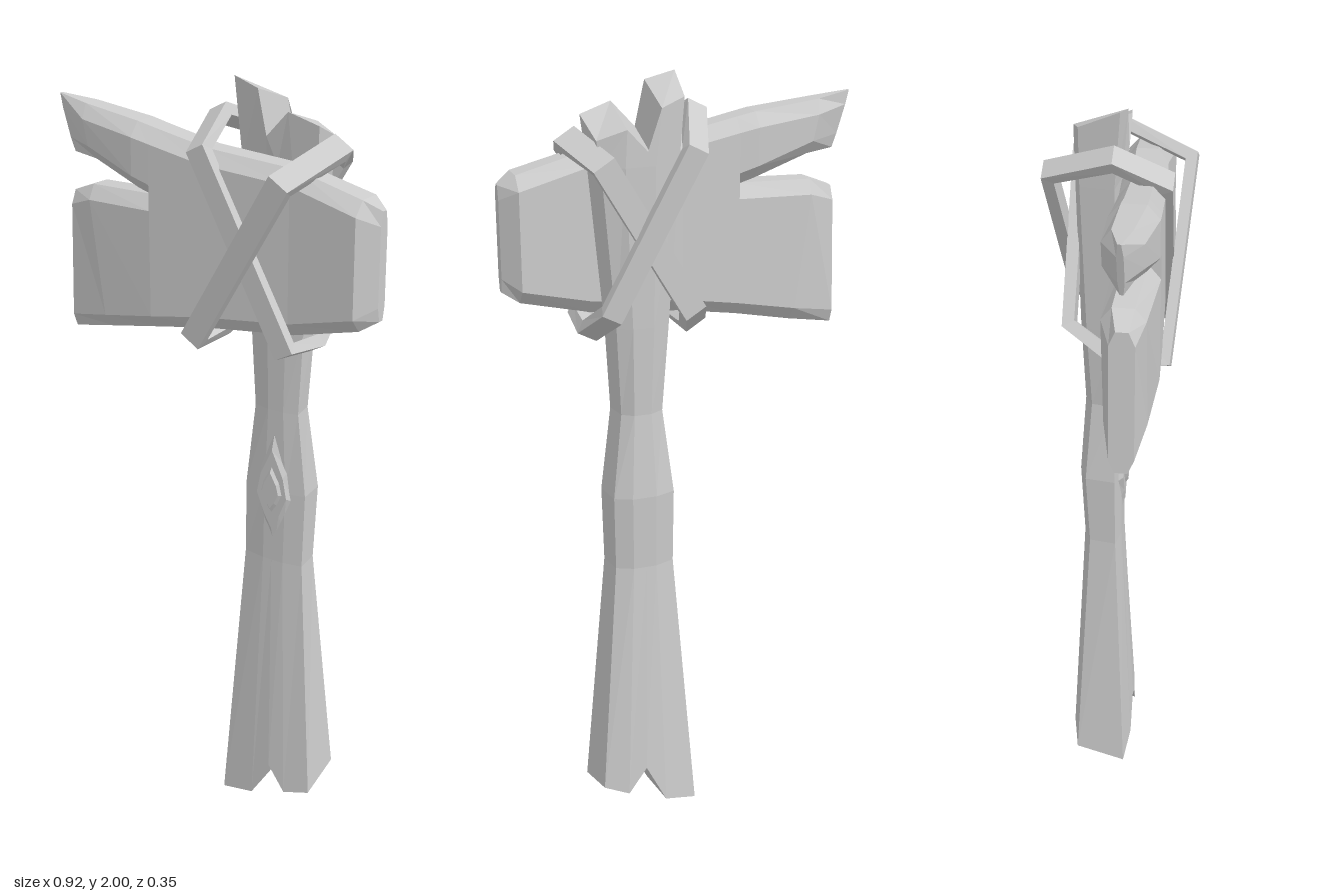
import * as THREE from 'three';

const material = new THREE.MeshStandardMaterial({ color: 0xcccccc, flatShading: true });

// Skin a row of equal rings; open rows get strip caps, loops join end to start
function loft(name, rings, loop = false) {
  const n = rings[0].length, pos = [];
  const quad = (a, b, c, d) => [a, b, c, a, c, d].forEach(p => pos.push(...p));
  const last = loop ? rings.length : rings.length - 1;
  for (let r = 0; r < last; r++) {
    const a = rings[r], b = rings[(r + 1) % rings.length];
    for (let i = 0; i < n; i++) {
      const j = (i + 1) % n;
      quad(a[i], a[j], b[j], b[i]);
    }
  }
  if (!loop) {
    const s = rings[0], e = rings[rings.length - 1];
    for (let i = 0; i < n / 2 - 1; i++) {
      quad(e[i], e[i + 1], e[n - 2 - i], e[n - 1 - i]);
      quad(s[n - 1 - i], s[n - 2 - i], s[i + 1], s[i]);
    }
  }
  const geo = new THREE.BufferGeometry();
  geo.setAttribute('position', new THREE.Float32BufferAttribute(pos, 3));
  geo.computeVertexNormals();
  const mesh = new THREE.Mesh(geo, material);
  mesh.name = name;
  return mesh;
}

// Handle: five columns at the front and five at the back, with forked ends
function handleRing(xs, ys, zf, zb, backRise = 0) {
  const edge = [1, 0, 0, 0, 1];
  const front = xs.map((x, i) => [x, ys[i], zf - edge[i] * 0.01]);
  const back = xs.map((x, i) => [x + [0.01, 0, 0, 0, -0.01][i], ys[i] + backRise, zb + edge[i] * 0.02]);
  return [...front, ...back.reverse()];
}

function makeHandle() {
  const spans = [ // y, left, right, front z, back z
    [0.75, 0.05, 0.225, 0.005, -0.095],
    [0.95, 0.05, 0.23, 0.003, -0.105],
    [1.17, 0.075, 0.203, 0, -0.09],
    [1.4, 0.06, 0.215, 0, -0.1],
    [1.8, 0.035, 0.25, 0.005, -0.11],
  ];
  const rows = spans.map(([y, l, r, zf, zb]) =>
    handleRing([0, 0.35, 0.5, 0.7, 1].map(u => l + (r - l) * u), Array(5).fill(y), zf, zb));
  const bottom = handleRing([0, 0.1, 0.155, 0.205, 0.278], [0, 0.025, 0.135, 0.065, 0.085], 0.035, -0.13, 0.03);
  const top = handleRing([0.022, 0.095, 0.12, 0.18, 0.26], [2, 1.98, 1.87, 1.935, 1.91], 0.02, -0.11, -0.045);
  return loft('handle', [bottom, ...rows, top]);
}

// Stone head: eight-sided slices with chamfered top and bottom edges
function slice([xt, yt, xb, yb, z, t]) {
  const at = (y, dz) => [xb + (xt - xb) * (y - yb) / (yt - yb), y, z + dz];
  const c = 0.035, k = t * 0.5;
  return [at(yt - c, t), at(yb + c, t), at(yb, k), at(yb, -k),
    at(yb + c, -t), at(yt - c, -t), at(yt, -k), at(yt, k)];
}

function makeHead() {
  const head = new THREE.Group();
  head.name = 'axeHead';
  const parts = { // top x, top y, bottom x, bottom y, centre z, half thickness
    headBody: [
      [-0.15, 1.87, -0.15, 1.365, 0.07, 0.058],
      [0, 1.84, 0, 1.39, 0.065, 0.055],
      [0.24, 1.82, 0.24, 1.415, 0.05, 0.053],
      [0.42, 1.775, 0.42, 1.46, 0.045, 0.06],
      [0.46, 1.75, 0.46, 1.485, 0.043, 0.015],
    ],
    upperProng: [
      [-0.463, 1.912, -0.42, 1.77, 0.07, 0.008],
      [-0.37, 1.9, -0.34, 1.765, 0.065, 0.048],
      [-0.2, 1.88, -0.2, 1.715, 0.07, 0.06],
      [-0.15, 1.87, -0.15, 1.70, 0.07, 0.058],
    ],
    lowerProng: [
      [-0.415, 1.675, -0.425, 1.31, 0.07, 0.03],
      [-0.35, 1.70, -0.3, 1.335, 0.065, 0.052],
      [-0.15, 1.705, -0.15, 1.365, 0.07, 0.058],
    ],
  };
  for (const [name, rows] of Object.entries(parts)) head.add(loft(name, rows.map(slice)));
  return head;
}

// Strap: a flat band around a tilted loop, listed up the front and down the back
function makeStrap(name, points, halfWidth, halfThick) {
  const p = points.map(q => new THREE.Vector3(...q));
  const s = p[1].clone().sub(p[0]);
  const w = new THREE.Vector3(-s.y, s.x, 0).normalize();
  const rings = p.map((q, i) => {
    const a = p[(i + p.length - 1) % p.length], b = p[(i + 1) % p.length];
    const d = q.clone().sub(a).normalize().add(b.clone().sub(q).normalize()).normalize();
    const o = d.cross(w).normalize();
    return [[-1, -1], [1, -1], [1, 1], [-1, 1]].map(([u, v]) =>
      q.clone().addScaledVector(w, u * halfWidth).addScaledVector(o, v * halfThick).toArray());
  });
  return loft(name, rings, true);
}

// Knot: a pointed oval swelling with a raised eye
function makeKnot() {
  const outline = (sx, sy, z) => [[0, 1], [-0.75, 0.35], [-1, -0.15], [-0.5, -0.65],
    [0, -1], [0.5, -0.65], [1, -0.15], [0.75, 0.35]]
    .map(([x, y]) => [0.14 + x * sx, 0.955 + y * sy, z]);
  const knot = new THREE.Group();
  knot.name = 'knot';
  knot.add(loft('knotRim', [outline(0.055, 0.17, -0.005), outline(0.045, 0.11, 0.012)]));
  knot.add(loft('knotEye', [outline(0.036, 0.075, 0.005), outline(0.025, 0.05, 0.02)]));
  return knot;
}

export function createModel() {
  const model = new THREE.Group();
  model.name = 'stoneAxe';
  model.add(makeHandle(), makeKnot(), makeHead());
  model.add(makeStrap('outerStrap', [
    [-0.015, 1.375, 0.13], [0.25, 1.8, 0.16], [0.3, 1.86, -0.02],
    [0.24, 1.81, -0.115], [0.02, 1.44, -0.115], [-0.02, 1.375, 0],
  ], 0.03, 0.017));
  model.add(makeStrap('innerStrap', [
    [0.24, 1.385, 0.115], [0.0, 1.84, 0.125], [-0.025, 1.905, 0],
    [0.03, 1.84, -0.16], [0.23, 1.45, -0.125], [0.25, 1.375, 0],
  ], 0.027, 0.017));
  return model;
}
